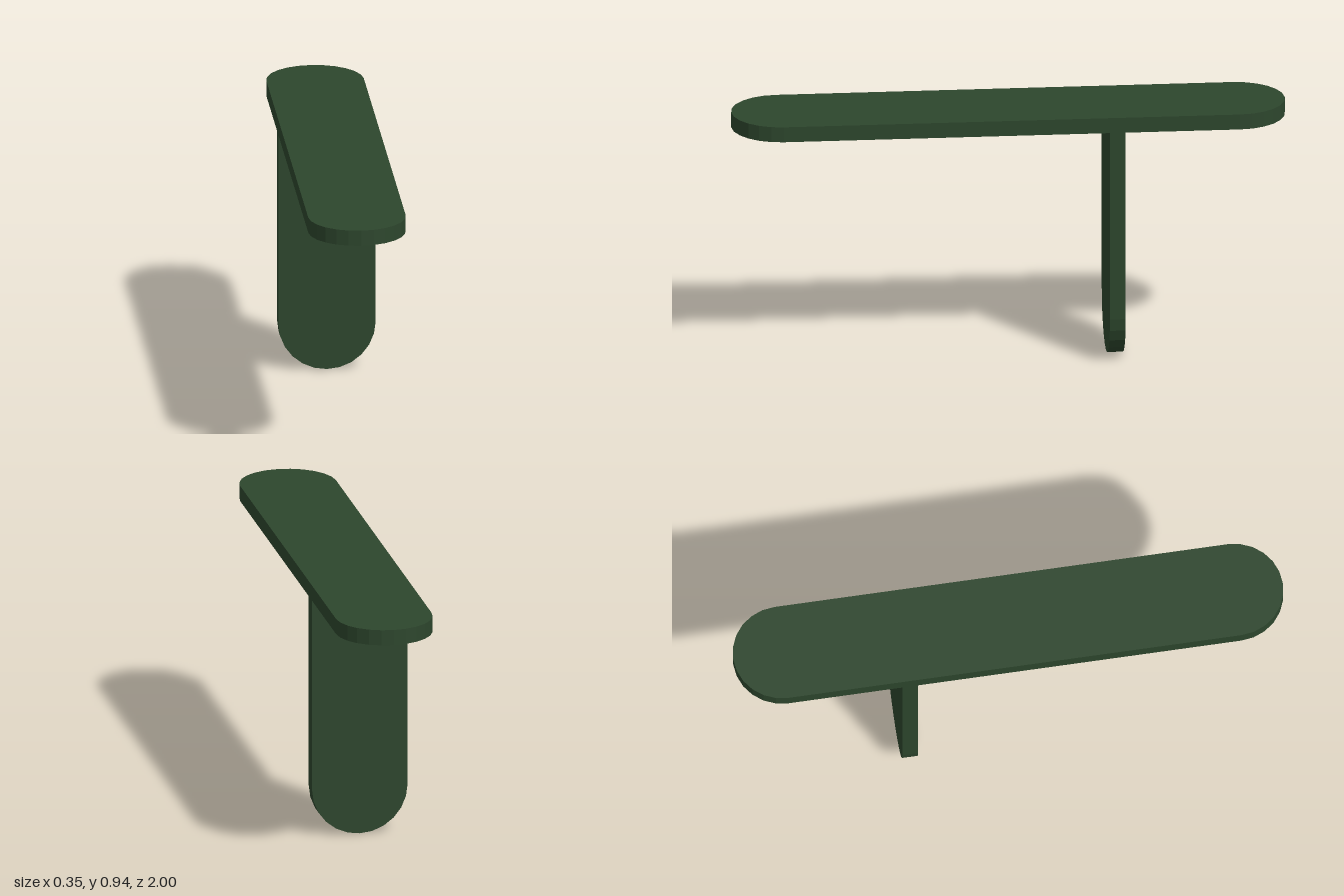
import * as THREE from 'three';

const R = 0.176;  // half width of both planks
const T = 0.057;  // plank thickness
const TOP = 0.945;

// Plank outline along y, rounded at the bottom and optionally at the top
function plank(name, y0, y1, roundTop, material) {
  const shape = new THREE.Shape();
  shape.absarc(0, y0 + R, R, Math.PI, 2 * Math.PI, false);
  if (roundTop) {
    shape.absarc(0, y1 - R, R, 0, Math.PI, false);
  } else {
    shape.lineTo(R, y1);
    shape.lineTo(-R, y1);
  }
  shape.closePath();
  const geometry = new THREE.ExtrudeGeometry(shape, { depth: T, bevelEnabled: false, curveSegments: 6 });
  geometry.translate(0, 0, -T / 2);
  const mesh = new THREE.Mesh(geometry, material);
  mesh.name = name;
  return mesh;
}

export function createModel() {
  const group = new THREE.Group();
  group.name = 'plankStand';
  const material = new THREE.MeshStandardMaterial({ color: 0x2d462d, flatShading: true });

  // Long horizontal board, rounded at both ends
  const board = plank('topBoard', -1, 1, true, material);
  board.rotation.x = Math.PI / 2;
  board.position.y = TOP - T / 2;

  // Upright leg behind the middle, rounded at the foot
  const leg = plank('leg', 0, TOP - T, false, material);
  leg.position.z = -0.382;

  group.add(board, leg);
  return group;
}
